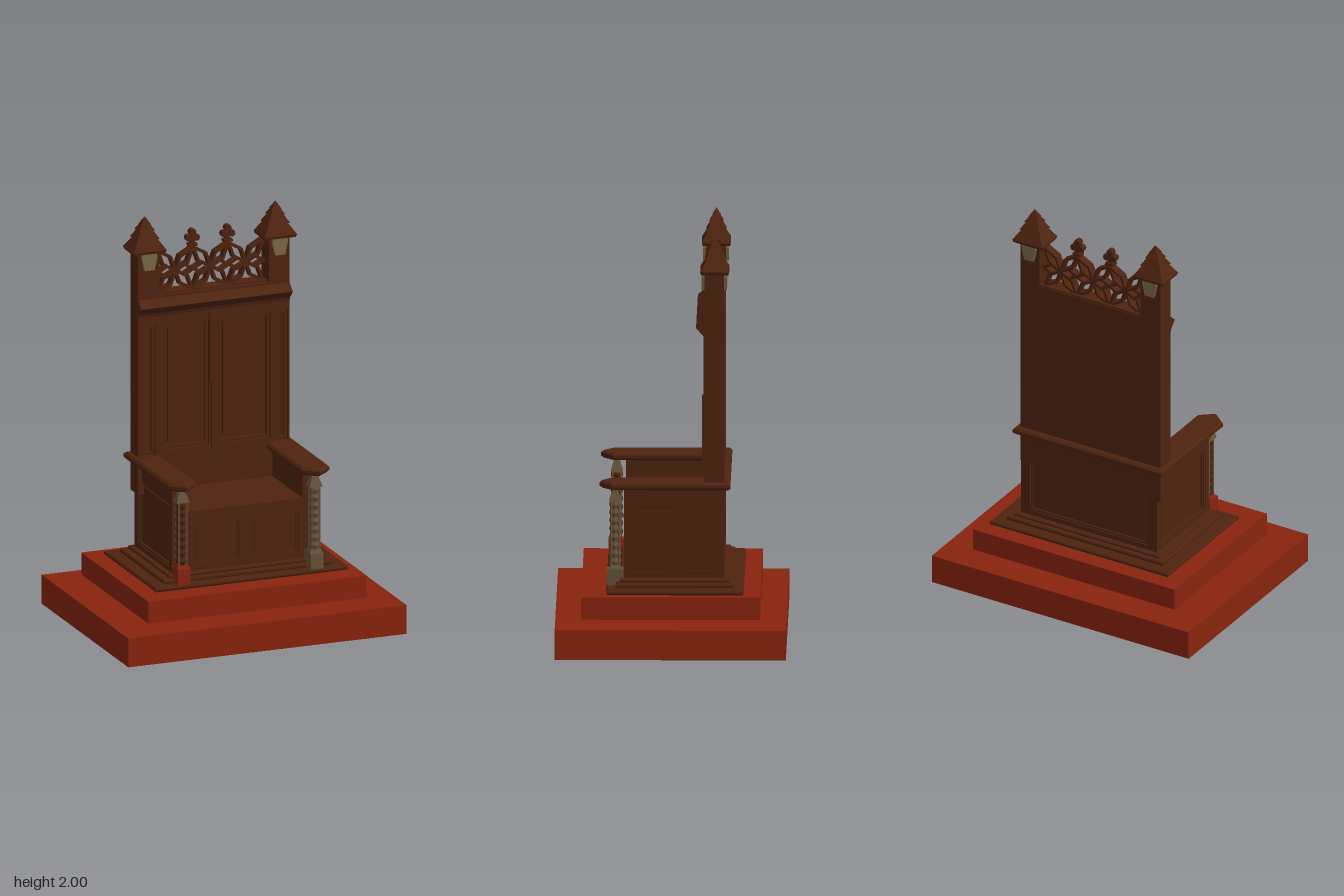
import * as THREE from 'three';

const mat = (name, color, flat = false) => {
  const m = new THREE.MeshStandardMaterial({ color, flatShading: flat });
  m.name = name;
  return m;
};

export function createModel() {
  const root = new THREE.Group();
  root.name = 'throne';
  const wood = mat('dark wood', 0x4e230f, true);
  const red = mat('red cloth', 0x88230e, true);
  const stone = mat('tan stone', 0x655238, true);
  const pale = mat('pale carving', 0x7b6845, true);

  const add = (name, geo, m, parent = root) => {
    const mesh = new THREE.Mesh(geo, m);
    mesh.name = name;
    parent.add(mesh);
    return mesh;
  };
  // box given by its minimum and maximum corners
  const box = (name, m, x0, x1, y0, y1, z0, z1, parent = root) => {
    const b = add(name, new THREE.BoxGeometry(x1 - x0, y1 - y0, z1 - z0), m, parent);
    b.position.set((x0 + x1) / 2, (y0 + y1) / 2, (z0 + z1) / 2);
    return b;
  };
  // horizontal slab with bevelled edges, outline given as [x, z]
  const slab = (name, outline, y0, y1, bevel) => {
    const shape = new THREE.Shape(outline.map(([x, z]) => new THREE.Vector2(x, -z)));
    const geo = new THREE.ExtrudeGeometry(shape, {
      depth: y1 - y0 - 2 * bevel, bevelEnabled: true, bevelSegments: 1,
      bevelSize: bevel, bevelThickness: bevel, bevelOffset: -bevel,
    });
    geo.rotateX(-Math.PI / 2).translate(0, y0 + bevel, 0);
    return add(name, geo, wood);
  };
  const rect = (x0, x1, z0, z1) => [[x0, z0], [x1, z0], [x1, z1], [x0, z1]];

  // flat frame with rectangular openings [x0, x1, y0, y1]
  const frameGeo = ([x0, x1, y0, y1], holes, t) => {
    const corners = (a, b, c, d) => [[a, c], [b, c], [b, d], [a, d]].map(p => new THREE.Vector2(...p));
    const shape = new THREE.Shape(corners(x0, x1, y0, y1));
    holes.forEach(h => shape.holes.push(new THREE.Path(corners(...h))));
    return new THREE.ExtrudeGeometry(shape, { depth: t, bevelEnabled: false });
  };
  const inset = ([a, b, c, d], s) => [a + s, b - s, c + s, d - s];
  // panelled face: frame, stepped mouldings and a raised field
  const panelled = (name, outer, holes, t, step) => {
    const g = new THREE.Group();
    g.name = name;
    add('panelFrame', frameGeo(outer, holes, t), wood, g);
    holes.forEach(h => {
      add('panelMoulding', frameGeo(h, [inset(h, step)], t * 0.6), wood, g);
      const [a, b, c, d] = inset(h, step * 2);
      if (b - a > 0.03) box('panelField', wood, a, b, c, d, 0, t * 0.35, g);
    });
    root.add(g);
    return g;
  };

  // stepped dais
  box('lowerStep', red, -0.72, 0.72, 0, 0.145, -0.555, 0.555);
  box('upperStep', red, -0.565, 0.565, 0.165, 0.275, -0.43, 0.43);

  // plinth
  slab('plinthBottom', rect(-0.48, 0.52, -0.35, 0.31), 0.275, 0.297, 0.007);
  slab('plinthMiddle', rect(-0.42, 0.455, -0.3, 0.265), 0.295, 0.318, 0.006);
  slab('plinthTop', rect(-0.385, 0.425, -0.28, 0.245), 0.316, 0.335, 0.006);

  // seat box with arm walls
  box('seatCore', wood, -0.345, 0.385, 0.33, 0.625, -0.24, 0.21);
  box('seatTop', wood, -0.29, 0.33, 0.615, 0.635, -0.19, 0.228);
  for (const [a, b] of [[-0.345, -0.28], [0.315, 0.385]]) {
    box('armWall', wood, a, b, 0.62, 0.775, -0.24, 0.21);
    box('armWallFront', wood, a - (a < 0 ? 0.015 : 0), b + (a < 0 ? 0 : 0.015), 0.62, 0.775, 0.2, 0.225);
  }
  const front = panelled('seatFront', [-0.36, 0.4, 0.33, 0.625],
    [[-0.255, -0.01, 0.365, 0.575], [0.05, 0.295, 0.365, 0.575]], 0.015, 0.01);
  front.position.z = 0.21;
  const right = panelled('seatSide', [-0.225, 0.255, 0.33, 0.772], [[-0.185, 0.21, 0.36, 0.68]], 0.015, 0.01);
  right.rotation.y = Math.PI / 2;
  right.position.x = 0.385;
  const left = panelled('seatSide', [-0.255, 0.225, 0.33, 0.772], [[-0.21, 0.185, 0.36, 0.68]], 0.015, 0.01);
  left.rotation.y = -Math.PI / 2;
  left.position.x = -0.345;
  const rear = panelled('seatRear', [-0.4, 0.36, 0.33, 0.772], [[-0.35, 0.31, 0.36, 0.68]], 0.015, 0.01);
  rear.rotation.y = Math.PI;
  rear.position.z = -0.24;

  // arm rests with pointed ends, joined behind the back
  slab('armRests', [[-0.405, -0.285], [0.43, -0.285], [0.43, 0.285], [0.358, 0.345], [0.285, 0.285],
    [0.285, -0.165], [-0.26, -0.165], [-0.26, 0.285], [-0.333, 0.345], [-0.405, 0.285]], 0.77, 0.807, 0.011);

  // tall panelled back
  box('backBoard', wood, -0.38, 0.405, 0.62, 1.61, -0.255, -0.188);
  const back = panelled('backFace', [-0.38, 0.405, 0.62, 1.61], [
    [-0.25, -0.012, 0.83, 1.465], [0.035, 0.305, 0.83, 1.465],
    [-0.37, -0.29, 0.81, 1.465], [0.325, 0.395, 0.81, 1.465]], 0.03, 0.016);
  back.position.z = -0.19;
  box('mullionLower', wood, -0.003, 0.028, 0.807, 1.15, -0.165, -0.145);
  box('mullionUpper', wood, -0.012, 0.036, 1.15, 1.5, -0.165, -0.152);

  // wedge-shaped cornice
  const wedge = new THREE.Shape([[0.17, 1.607], [0.165, 1.49], [0.155, 1.525], [0.12, 1.562]]
    .map(([x, y]) => new THREE.Vector2(x, y)));
  add('cornice', new THREE.ExtrudeGeometry(wedge, { depth: 0.785, bevelEnabled: false })
    .rotateY(Math.PI / 2).translate(-0.38, 0, 0), wood);

  // corner posts with tiered pinnacles
  const taper = (name, m, r0, r1, y0, y1, x, z, parent) => {
    const geo = new THREE.CylinderGeometry(r1 * Math.SQRT2, r0 * Math.SQRT2, y1 - y0, 4);
    geo.rotateY(Math.PI / 4).scale(1, 1, 0.82);
    add(name, geo, m, parent).position.set(x, (y0 + y1) / 2, z);
  };
  const zc = -0.21;
  for (const [x0, x1] of [[-0.38, -0.27], [0.297, 0.405]]) {
    const g = new THREE.Group();
    g.name = 'cornerPost';
    root.add(g);
    const x = (x0 + x1) / 2;
    box('post', wood, x0, x1, 1.6, 1.84, -0.255, -0.16, g);
    [[0.08, 0.085, 1.828, 1.842], [0.085, 0.045, 1.842, 1.9], [0.058, 0.025, 1.895, 1.945],
      [0.04, 0.016, 1.935, 1.97], [0.025, 0.001, 1.962, 2]]
      .forEach(([a, b, c, d]) => taper('pinnacleTier', wood, a, b, c, d, x, zc, g));
    // carved brackets under the eaves, front and back
    const leaf = new THREE.Shape([[-0.025, 1.745], [0.025, 1.745], [0.04, 1.81], [0.036, 1.838],
      [-0.036, 1.838], [-0.04, 1.81]].map(p => new THREE.Vector2(...p)));
    for (const z of [-0.162, -0.269]) {
      add('bracket', new THREE.ExtrudeGeometry(leaf, { depth: 0.016, bevelEnabled: false }), pale, g).position.set(x, 0, z);
    }
  }

  // openwork crest of six-petalled stars
  const crest = new THREE.Group();
  crest.name = 'openworkCrest';
  root.add(crest);
  const bar = (ax, ay, bx, by) => {
    const b = add('tracery', new THREE.BoxGeometry(Math.hypot(bx - ax, by - ay) + 0.008, 0.013, 0.04), wood, crest);
    b.position.set((ax + bx) / 2, (ay + by) / 2, -0.215);
    b.rotation.z = Math.atan2(by - ay, bx - ax);
  };
  const tips = [[0.091, 0], [0.088, 0.105], [-0.088, 0.105], [-0.091, 0], [-0.088, -0.1], [0.088, -0.1]];
  for (const cx of [-0.17, 0.0125, 0.195]) {
    for (const [tx, ty] of tips) {
      const l = Math.hypot(tx, ty), w = 0.026;
      for (const s of [-1, 1]) {
        const mx = cx + tx * 0.5 - s * w * ty / l, my = 1.712 + ty * 0.5 + s * w * tx / l;
        bar(cx, 1.712, mx, my);
        bar(mx, my, cx + tx, 1.712 + ty);
      }
    }
  }
  box('crestRail', wood, -0.275, 0.3, 1.6, 1.618, -0.25, -0.18, crest);

  // trefoil finials on the crest
  for (const x of [-0.079, 0.104]) {
    box('finialStem', wood, x - 0.01, x + 0.01, 1.8, 1.88, -0.228, -0.203, crest);
    box('finialCollar', wood, x - 0.022, x + 0.022, 1.825, 1.838, -0.233, -0.197, crest);
    for (const [dx, y] of [[-0.019, 1.866], [0.019, 1.866], [0, 1.894]]) {
      const lobe = add('finialLobe', new THREE.CylinderGeometry(0.017, 0.017, 0.032, 8), wood, crest);
      lobe.rotation.x = Math.PI / 2;
      lobe.position.set(x + dx, y, -0.215);
    }
  }

  // carved columns below the arm rests
  const carved = [];
  for (let i = 0; i <= 16; i++) carved.push(new THREE.Vector2(i % 2 ? 0.03 : 0.023, 0.39 + i * 0.02));
  const columns = [[-0.33, red, wood], [0.358, stone, stone]];
  for (const [x, baseMat, shaftMat] of columns) {
    const g = new THREE.Group();
    g.name = 'frontColumn';
    g.position.set(x, 0, 0.268);
    root.add(g);
    box('columnBase', baseMat, -0.033, 0.033, 0.297, 0.375, -0.04, 0.04, g);
    taper('columnBaseSlope', baseMat, 0.033, 0.024, 0.375, 0.395, 0, 0, g);
    add('columnShaft', new THREE.LatheGeometry(carved, 8), shaftMat, g);
    for (let k = 0; k < 4; k++) {
      const a = Math.PI / 4 + k * Math.PI / 2;
      add('columnRib', new THREE.CylinderGeometry(0.005, 0.005, 0.32, 5), stone, g)
        .position.set(Math.cos(a) * 0.027, 0.55, Math.sin(a) * 0.027);
    }
    taper('columnCapital', stone, 0.034, 0.02, 0.705, 0.745, 0, 0, g);
    taper('columnTip', stone, 0.02, 0.012, 0.745, 0.775, 0, 0, g);
  }
  return root;
}
